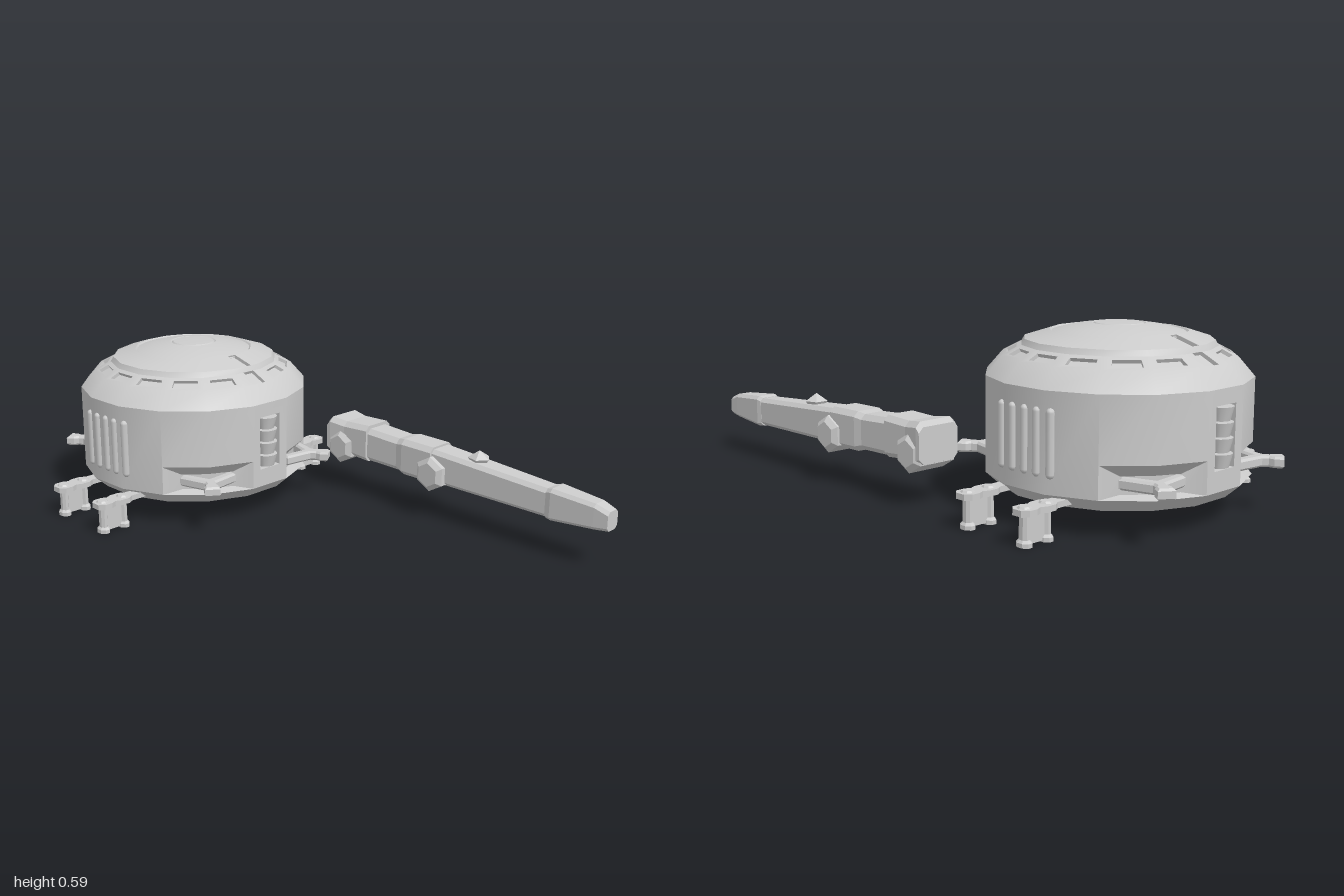
import * as THREE from 'three';
import { toCreasedNormals, mergeVertices } from 'three/addons/utils/BufferGeometryUtils.js';

const smooth = new THREE.MeshStandardMaterial({ color: 0xcccccc, side: THREE.DoubleSide });
const flat = new THREE.MeshStandardMaterial({ color: 0xcccccc, flatShading: true });
const V = (x, y, z) => new THREE.Vector3(x, y, z);
const SIDES = 16, STEP = 360 / SIDES, RAD = Math.PI / 180;

function add(parent, name, geometry, material = flat, x = 0, y = 0, z = 0) {
  const mesh = new THREE.Mesh(geometry, material);
  mesh.name = name;
  mesh.position.set(x, y, z);
  parent.add(mesh);
  return mesh;
}

// Collects four-cornered faces, corners counter-clockwise from outside
class Faces {
  constructor() { this.p = []; }
  quad(a, b, c, d) {
    for (const v of [a, b, c, a, c, d]) this.p.push(v.x, v.y, v.z);
  }
  // Quad with a sunken rectangular pocket
  pocket(a, b, c, d, u0, u1, v0, v1, depth) {
    const at = (u, v) => a.clone().lerp(b, u).lerp(d.clone().lerp(c, u), v);
    const n = b.clone().sub(a).cross(d.clone().sub(a)).normalize().multiplyScalar(-depth);
    const outer = [at(0, 0), at(1, 0), at(1, 1), at(0, 1)];
    const rim = [at(u0, v0), at(u1, v0), at(u1, v1), at(u0, v1)];
    const floor = rim.map(p => p.clone().add(n));
    for (let i = 0; i < 4; i++) {
      const j = (i + 1) % 4;
      this.quad(outer[i], outer[j], rim[j], rim[i]);
      this.quad(rim[i], rim[j], floor[j], floor[i]);
    }
    this.quad(...floor);
  }
  build(crease = 0.5) {
    const g = new THREE.BufferGeometry();
    g.setAttribute('position', new THREE.Float32BufferAttribute(this.p, 3));
    g.computeVertexNormals();
    return crease ? toCreasedNormals(g, crease) : g;
  }
}

// Point on the sixteen-sided hull, given the distance to its flats
function hullPoint(deg, apothem, y) {
  const r = apothem / Math.cos(STEP / 2 * RAD);
  return V(r * Math.sin(deg * RAD), y, r * Math.cos(deg * RAD));
}

function hullGeometry() {
  const f = new Faces();
  for (let k = 0; k < SIDES; k++) {
    const l = k * STEP - STEP / 2, r = l + STEP;
    const band = (r0, y0, r1, y1, pocket) => {
      const q = [hullPoint(l, r0, y0), hullPoint(r, r0, y0), hullPoint(r, r1, y1), hullPoint(l, r1, y1)];
      if (pocket) f.pocket(...q, ...pocket); else f.quad(...q);
    };
    const axial = k % 8 === 0;
    const recessed = [1, 2, 6, 7, 9, 10, 14, 15].includes(k);
    // underside and lower bevel
    band(0, 0.08, 0.37, 0.08);
    band(0.37, 0.08, 0.416, 0.122);
    // wall, with vent slot front and back
    if (recessed) band(0.416, 0.225, 0.416, 0.43);
    else band(0.416, 0.122, 0.416, 0.43, axial && [0.21, 0.79, 0.21, 0.84, 0.045]);
    // shoulder, window ring and split dome band
    const groove = [0.31, 0.69, 0, 1, 0.012];
    band(0.416, 0.43, 0.365, 0.49);
    band(0.365, 0.49, 0.305, 0.522, axial ? groove : [0.17, 0.83, 0.22, 0.75, 0.012]);
    band(0.305, 0.522, 0.295, 0.54);
    band(0.295, 0.54, 0.215, 0.566, axial && groove);
    band(0.215, 0.566, 0.208, 0.56);
  }
  // sloped recess spanning two flats at each corner
  for (const mid of [33.75, 146.25, 213.75, 326.25]) {
    const o = [-STEP, 0, STEP].map(d => [0.122, 0.225].map(y => hullPoint(mid + d, 0.416, y)));
    const n = [-14, 0, 14].map(d => [0.13, 0.185].map(y => hullPoint(mid + d, 0.372, y)));
    for (let i = 0; i < 2; i++) {
      f.quad(o[i][0], o[i + 1][0], n[i + 1][0], n[i][0]);
      f.quad(n[i][0], n[i + 1][0], n[i + 1][1], n[i][1]);
      f.quad(n[i][1], n[i + 1][1], o[i + 1][1], o[i][1]);
    }
    f.quad(o[0][0], n[0][0], n[0][1], o[0][1]);
    f.quad(n[2][0], o[2][0], o[2][1], n[2][1]);
  }
  return f.build();
}

// Chamfered bar along z from sections [z, bottom, top, halfWidth]
function barGeometry(sections, c = 0.018) {
  const f = new Faces();
  const loops = sections.map(([z, b, t, w]) => [
    [w, b + c], [w, t - c], [w - c, t], [c - w, t], [-w, t - c], [-w, b + c], [c - w, b], [w - c, b],
  ].map(([x, y]) => V(x, y, z)));
  for (let s = 0; s + 1 < loops.length; s++)
    for (let j = 0; j < 8; j++) {
      const m = (j + 1) % 8;
      f.quad(loops[s][j], loops[s][m], loops[s + 1][m], loops[s + 1][j]);
    }
  const back = [...loops[0]].reverse(), front = loops[loops.length - 1];
  for (const e of [back, front])
    for (const i of [1, 3, 5]) f.quad(e[0], e[i], e[i + 1], e[(i + 2) % 8]);
  return f.build(0);
}

// Flat slab from a plan outline [x, z], its top at y = 0
function slabGeometry(points, height, bevel) {
  const shape = new THREE.Shape(points.map(p => new THREE.Vector2(...p)));
  return new THREE.ExtrudeGeometry(shape, {
    depth: height - 2 * bevel, bevelEnabled: bevel > 0, bevelSize: bevel,
    bevelThickness: bevel, bevelOffset: -bevel, bevelSegments: 1,
  }).rotateX(Math.PI / 2).translate(0, -bevel, 0);
}

function lathe(points, sides, start = 0) {
  return new THREE.LatheGeometry(points.map(p => new THREE.Vector2(...p)), sides, start);
}

function createTurret() {
  const g = new THREE.Group();
  g.name = 'turret';
  g.position.z = -0.55;
  add(g, 'hull', hullGeometry(), smooth);
  const cap = lathe([[0.22, 0.558], [0.205, 0.563], [0.15, 0.577], [0.085, 0.587], [0.08, 0.584],
    [0.075, 0.588], [0, 0.592]], 32);
  add(g, 'domeCap', toCreasedNormals(cap, 0.4), smooth);

  // stacked vent cups front and back, ribs on both flanks
  const cup = new THREE.CylinderGeometry(0.042, 0.031, 0.043, 14);
  const rib = new THREE.CapsuleGeometry(0.014, 0.182, 3, 8);
  for (const s of [-1, 1]) {
    for (let i = 0; i < 4; i++) add(g, 'ventCup', toCreasedNormals(cup, 0.6), smooth, 0, 0.213 + i * 0.047, s * 0.394);
    for (let i = -2; i <= 2; i++) add(g, 'sideRib', rib, smooth, s * (0.414 - (Math.abs(i) === 2 ? 0.005 : 0)), 0.275, i * 0.05);
  }

  // forked bracket in each corner recess
  const half = [[0.027, 0.522], [0.027, 0.492], [0.018, 0.475], [0.02, 0.455], [0.1, 0.385], [0.085, 0.355]];
  const fork = slabGeometry([...half, [0, 0.422], ...half.map(([x, z]) => [-x, z]).reverse()], 0.036, 0.007);
  for (const a of [33.75, 146.25, 213.75, 326.25])
    add(g, 'cornerBracket', fork, flat, 0, 0.184, 0).rotation.y = a * RAD;
  return g;
}

// Landing foot pointing along +x
function createFoot() {
  const g = new THREE.Group();
  g.name = 'landingFoot';
  const edge = [[0.34, 0.022], [0.42, 0.022], [0.44, 0.035], [0.475, 0.035], [0.495, 0.026],
    [0.515, 0.035], [0.545, 0.035], [0.563, 0.018]];
  add(g, 'footPlate', slabGeometry([...edge, ...edge.map(([x, z]) => [x, -z]).reverse()], 0.019, 0), flat, 0, 0.113, 0);
  add(g, 'footWeb', new THREE.BoxGeometry(0.08, 0.1, 0.016), flat, 0.49, 0.055, 0);
  for (const x of [0.447, 0.533]) {
    const post = lathe([[0, 0], [0.021, 0], [0.021, 0.013], [0.014, 0.021], [0.014, 0.096]], 8, Math.PI / 8);
    add(g, 'footPost', post, flat, x, 0, 0).scale.z = 1.3;
    add(g, 'footBolt', new THREE.CylinderGeometry(0.017, 0.022, 0.006, 8), flat, x, 0.116, 0);
  }
  return g;
}

function createArm() {
  const g = new THREE.Group();
  g.name = 'arm';
  g.position.x = 0.448;
  add(g, 'shoulderSleeve', barGeometry([[-0.2, 0.15, 0.27, 0.08], [-0.185, 0.145, 0.286, 0.08],
    [-0.12, 0.15, 0.278, 0.07], [-0.01, 0.142, 0.282, 0.068]]));
  add(g, 'upperArm', barGeometry([[-0.05, 0.145, 0.272, 0.06], [0.13, 0.14, 0.262, 0.056],
    [0.16, 0.132, 0.268, 0.063], [0.295, 0.13, 0.266, 0.063]]));
  add(g, 'forearm', barGeometry([[0.27, 0.136, 0.26, 0.055], [0.78, 0.127, 0.228, 0.041]], 0.014));
  add(g, 'hand', barGeometry([[0.77, 0.124, 0.23, 0.042], [0.79, 0.122, 0.235, 0.046],
    [0.95, 0.132, 0.222, 0.036], [1, 0.137, 0.205, 0.031]], 0.012));
  // hexagonal pivots through shoulder and elbow
  const pivot = lathe([[0, -0.085], [0.045, -0.085], [0.065, -0.07], [0.065, 0.07], [0.045, 0.085], [0, 0.085]], 6, Math.PI / 6)
    .rotateZ(Math.PI / 2);
  add(g, 'shoulderPivot', pivot, flat, 0, 0.178, -0.138);
  add(g, 'elbowPivot', pivot, flat, 0, 0.172, 0.3);
  add(g, 'forearmStud', lathe([[0.028, 0], [0.041, 0.018], [0, 0.045]], 5), flat, 0, 0.24, 0.465);
  return g;
}

export function createModel() {
  const model = new THREE.Group();
  model.name = 'armedTurret';
  model.add(createTurret(), createArm());
  for (const s of [0, 1])
    for (const z of [-0.67, -0.43]) {
      const foot = createFoot();
      foot.rotation.y = s * Math.PI;
      foot.position.z = z;
      model.add(foot);
    }
  return model;
}
